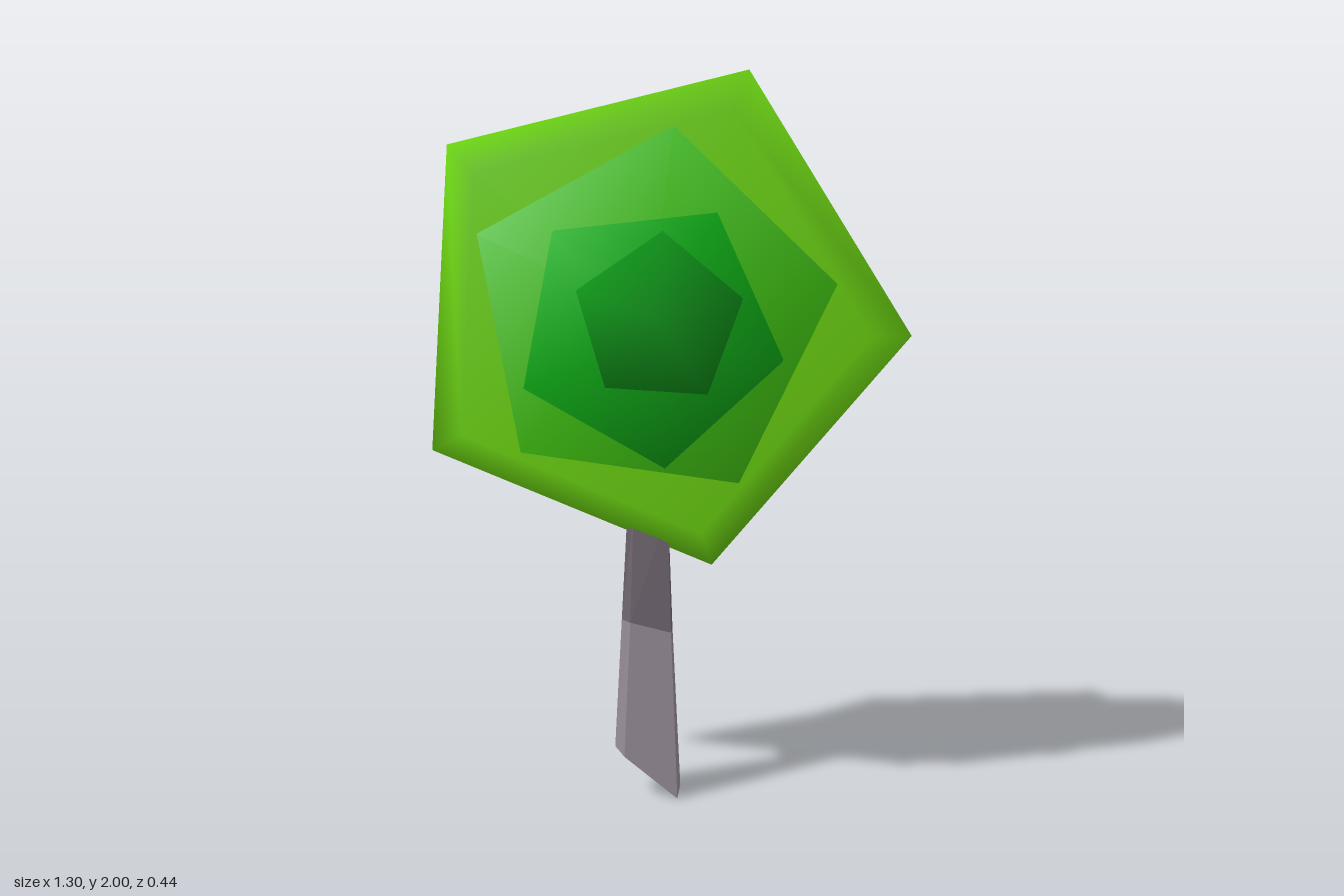
import * as THREE from 'three';

// Closed solid through rings of equal point count, counter-clockwise seen from the last ring
function loft(rings) {
  const n = rings[0].length, last = (rings.length - 1) * n;
  const pos = rings.flat(2), index = [];
  for (let r = 0; r < rings.length - 1; r++) {
    for (let i = 0; i < n; i++) {
      const a = r * n + i, b = r * n + (i + 1) % n;
      index.push(a, b, b + n, a, b + n, a + n);
    }
  }
  // Caps fan out from a centre point
  const centre = ring => [0, 1, 2].map(k => ring.reduce((s, p) => s + p[k], 0) / n);
  const c = rings.length * n;
  pos.push(...centre(rings[0]), ...centre(rings[rings.length - 1]));
  for (let i = 0; i < n; i++) {
    const j = (i + 1) % n;
    index.push(c, j, i, c + 1, last + i, last + j);
  }
  const geo = new THREE.BufferGeometry();
  geo.setAttribute('position', new THREE.Float32BufferAttribute(pos, 3));
  geo.setIndex(index);
  geo.computeVertexNormals();
  return geo;
}

// Pentagonal slab: profile lists [z, scale about the outline's centre]
function slab(outline, profile) {
  const cx = outline.reduce((s, p) => s + p[0], 0) / outline.length;
  const cy = outline.reduce((s, p) => s + p[1], 0) / outline.length;
  return loft(profile.map(([z, s]) =>
    outline.map(([x, y]) => [cx + (x - cx) * s, cy + (y - cy) * s, z])));
}

export function createModel() {
  const group = new THREE.Group();
  const add = (name, geo, color, flatShading = false) => {
    const mesh = new THREE.Mesh(geo, new THREE.MeshStandardMaterial({ color, flatShading }));
    mesh.name = name;
    group.add(mesh);
  };

  // Foliage: nested, twisted pentagons, thicker towards the middle
  add('outerFoliage', slab(
    [[0.21, 2], [-0.6, 1.8], [-0.655, 0.965], [0.115, 0.655], [0.65, 1.295]],
    [[-0.07, 0.85], [0, 1], [0.07, 0.85]]), 0x6cd412);
  add('middleFoliage', slab(
    [[0.02, 1.86], [-0.5, 1.575], [-0.39, 0.99], [0.195, 0.915], [0.45, 1.45]],
    [[-0.147, 1], [0, 0.92], [0.147, 1]]), 0x40c412);
  add('innerFoliage', slab(
    [[0.135, 1.635], [-0.295, 1.585], [-0.375, 1.17], [0, 0.96], [0.31, 1.25]],
    [[-0.187, 1], [0.187, 1]]), 0x0faa16);
  add('foliageCore', slab(
    [[-0.005, 1.59], [-0.23, 1.435], [-0.155, 1.18], [0.115, 1.165], [0.205, 1.415]],
    [[-0.218, 1], [0.218, 1]]), 0x0e9018);

  // Trunk: six-sided, slanted foot, narrowing to a wedge inside the foliage
  const ring = (xr, yr, zr, xm, ym, zm, xl, yl, zl) => [
    [xr, yr, zr], [xr, yr, -zr], [xm, ym, -zm], [xl, yl, -zl], [xl, yl, zl], [xm, ym, zm]];
  const foot = ring(0.025, 0, 0.06, -0.122, 0.118, 0.062, -0.15, 0.14, 0.035);
  const middle = ring(0.005, 0.467, 0.028, -0.107, 0.495, 0.034, -0.132, 0.5, 0.018);
  const top = ring(-0.005, 0.8, 0.005, -0.1, 0.8, 0.006, -0.117, 0.8, 0.003);
  add('lowerTrunk', loft([foot, middle]), 0x958b95, true);
  add('upperTrunk', loft([middle, top]), 0x6e646e, true);

  return group;
}
